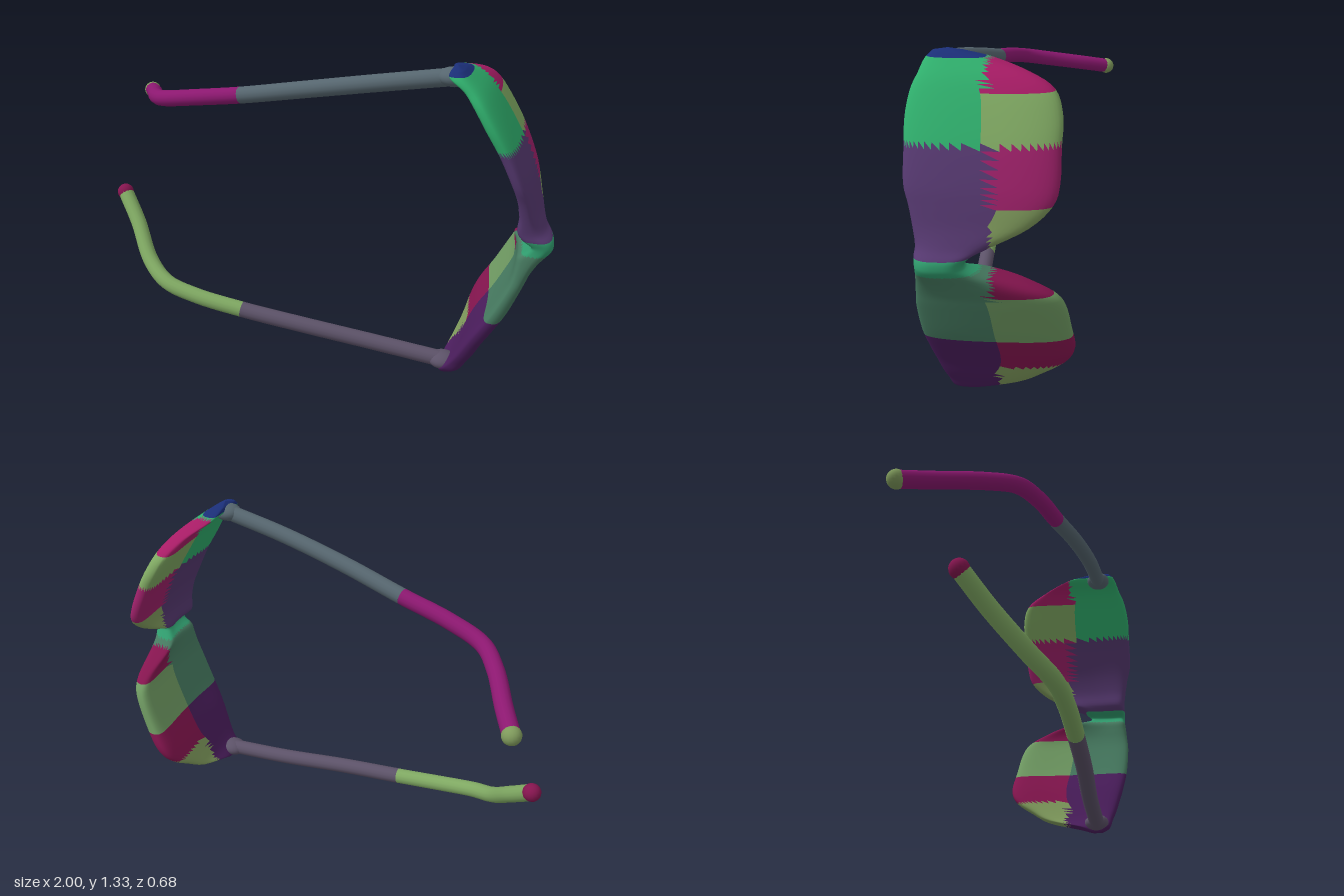
import * as THREE from 'three';

const mat = (color) => new THREE.MeshStandardMaterial({ color });

// Lens front slices: [y, inner x, outer x, back z, front z]
const SLICES = [
  [0.005, 0.59, 0.63, 0.14, 0.20], [0.03, 0.57, 0.68, 0.08, 0.225],
  [0.07, 0.605, 0.71, -0.06, 0.235], [0.12, 0.635, 0.742, -0.14, 0.25],
  [0.18, 0.665, 0.772, -0.22, 0.265], [0.25, 0.70, 0.812, -0.25, 0.28],
  [0.35, 0.76, 0.862, -0.24, 0.295], [0.47, 0.82, 0.908, -0.22, 0.30],
  [0.53, 0.84, 0.93, -0.18, 0.295], [0.58, 0.845, 0.957, -0.08, 0.29],
  [0.62, 0.85, 0.985, 0.04, 0.285], [0.645, 0.885, 1.0, 0.10, 0.28],
  [0.665, 0.90, 1.003, 0.115, 0.28], [0.69, 0.86, 0.995, 0.09, 0.285],
  [0.72, 0.84, 0.965, 0.02, 0.285], [0.78, 0.85, 0.937, -0.10, 0.295],
  [0.85, 0.84, 0.918, -0.175, 0.31], [0.92, 0.815, 0.897, -0.195, 0.33],
  [1.03, 0.76, 0.85, -0.195, 0.335], [1.12, 0.705, 0.80, -0.195, 0.34],
  [1.20, 0.655, 0.748, -0.165, 0.33], [1.25, 0.615, 0.707, -0.08, 0.31],
  [1.29, 0.56, 0.66, 0.05, 0.295], [1.315, 0.57, 0.625, 0.16, 0.27],
];

// Colour patch at a height and depth on the lens front
function patchColor(y, z) {
  if (y > 1.3) return 0x1b2f78;
  if (y > 1.04) return z > 0.07 ? 0x2fae6c : y > 1.2 ? 0xa81c66 : 0x7fa862;
  if (y > 0.69) return z > 0.03 ? 0x55386f : y > 0.85 ? 0x9c2068 : 0x7f9a5c;
  if (y > 0.63) return 0x2f9a6c;
  if (z > 0.03) return y > 0.33 ? 0x467a60 : 0x4a1d5c;
  if (y > 0.53) return 0x85154f;
  if (y > 0.32) return 0x6f9a62;
  return y > 0.17 ? 0x85154f : 0x7f9a5c;
}

// Smoothly interpolated slices, closed to a point at both ends
function smoothRows(steps) {
  const last = SLICES.length - 1;
  const rows = [];
  const at = (i) => SLICES[Math.min(Math.max(i, 0), last)];
  for (let i = 0; i < last; i++) {
    for (let s = 0; s < steps; s++) {
      const t = s / steps;
      rows.push(at(i).map((b, k) => {
        const a = at(i - 1)[k], c = at(i + 1)[k], d = at(i + 2)[k];
        return b + 0.5 * t * (c - a + t * (2 * a - 5 * b + 4 * c - d + t * (3 * (b - c) + d - a)));
      }));
    }
  }
  rows.push(SLICES[last]);
  const tip = ([, xi, xo, zb, zf], y) => [y, (xi + xo) / 2, (xi + xo) / 2, (zb + zf) / 2, (zb + zf) / 2];
  return [tip(rows[0], 0), ...rows, tip(SLICES[last], 1.325)];
}

// Both lenses and the bridge as one loft of rounded slices
function buildLensFront() {
  const SEG = 48;
  const rows = smoothRows(4);
  const pos = [], index = [];
  const soft = (v) => Math.sign(v) * Math.pow(Math.abs(v), 0.7);
  for (const [y, xi, xo, zb, zf] of rows) {
    // the surface falls away more steeply behind the bridge
    const bridge = 0.6 * Math.exp(-(((y - 0.65) / 0.06) ** 2));
    for (let j = 0; j < SEG; j++) {
      const a = (j / SEG) * Math.PI * 2;
      const side = Math.sin(a);
      const z = (zb + zf) / 2 + ((zf - zb) / 2) * soft(Math.cos(a));
      // the inner face is dished behind its rim, the rear edge curls inward
      const dish = side < 0 ? 1 - 0.4 * side * side : 1;
      const curl = (0.14 - 0.06 * side + bridge) * (zf - z) ** 2;
      const x = (xi + xo) / 2 + ((xo - xi) / 2) * soft(side) * dish - curl;
      pos.push(x, y, z);
    }
  }
  for (let i = 0; i < rows.length - 1; i++) {
    for (let j = 0; j < SEG; j++) {
      const a = i * SEG + j, b = i * SEG + ((j + 1) % SEG);
      index.push(a, b, a + SEG, b, b + SEG, a + SEG);
    }
  }
  const geo = new THREE.BufferGeometry();
  geo.setAttribute('position', new THREE.Float32BufferAttribute(pos, 3));
  geo.setIndex(index);
  geo.computeVertexNormals();

  // share the smooth vertices between one mesh per colour
  const patches = new Map();
  for (let i = 0; i < index.length; i += 3) {
    const tri = index.slice(i, i + 3);
    const mid = (k) => tri.reduce((sum, v) => sum + pos[v * 3 + k], 0) / 3;
    const color = patchColor(mid(1), mid(2));
    if (!patches.has(color)) patches.set(color, []);
    patches.get(color).push(...tri);
  }
  const group = new THREE.Group();
  group.name = 'lensFront';
  for (const [color, tris] of patches) {
    const part = geo.clone();
    part.setIndex(tris);
    const mesh = new THREE.Mesh(part, mat(color));
    mesh.name = 'lensPatch';
    group.add(mesh);
  }
  return group;
}

// Temple: slim tube with a rounded tip, split into arm and ear piece
function buildTemple(name, points, armColor, earColor, tipColor) {
  const group = new THREE.Group();
  group.name = name;
  const curve = new THREE.CatmullRomCurve3(points.map((p) => new THREE.Vector3(...p)));
  const samples = curve.getPoints(80);
  const split = 50;
  const add = (part, geo, color) => {
    const mesh = new THREE.Mesh(geo, mat(color));
    mesh.name = part;
    group.add(mesh);
    return mesh;
  };
  const tube = (list) => new THREE.TubeGeometry(new THREE.CatmullRomCurve3(list), 48, 0.034, 14);
  add('earPiece', tube(samples.slice(0, split + 1)), earColor);
  add('arm', tube(samples.slice(split)), armColor);
  add('earTip', new THREE.SphereGeometry(0.037, 16, 12), tipColor).position.copy(samples[0]);
  // hinge flares front to back where the arm meets the lens
  const hinge = add('hinge', new THREE.SphereGeometry(0.036, 20, 14), armColor);
  hinge.scale.set(1.7, 1, 1.5);
  hinge.position.copy(samples[80]);
  return group;
}

export function createModel() {
  const model = new THREE.Group();
  model.name = 'glasses';
  model.add(buildLensFront());
  model.add(buildTemple('upperTemple', [
    [-0.92, 0.937, -0.30], [-0.85, 0.965, -0.19], [-0.75, 1.005, -0.02], [-0.66, 1.035, 0.08],
    [-0.5, 1.07, 0.13], [-0.28, 1.11, 0.16], [0, 1.17, 0.195], [0.3, 1.23, 0.215], [0.585, 1.28, 0.215],
  ], 0x56666f, 0x8c1870, 0x7f9a5c));
  model.add(buildTemple('lowerTemple', [
    [-0.96, 0.515, -0.04], [-0.86, 0.41, 0.04], [-0.75, 0.285, 0.15], [-0.64, 0.225, 0.215],
    [-0.5, 0.19, 0.23], [-0.28, 0.155, 0.225], [0, 0.12, 0.21], [0.3, 0.08, 0.185], [0.6, 0.045, 0.17],
  ], 0x5c5268, 0x7fa862, 0x85154f));
  return model;
}
